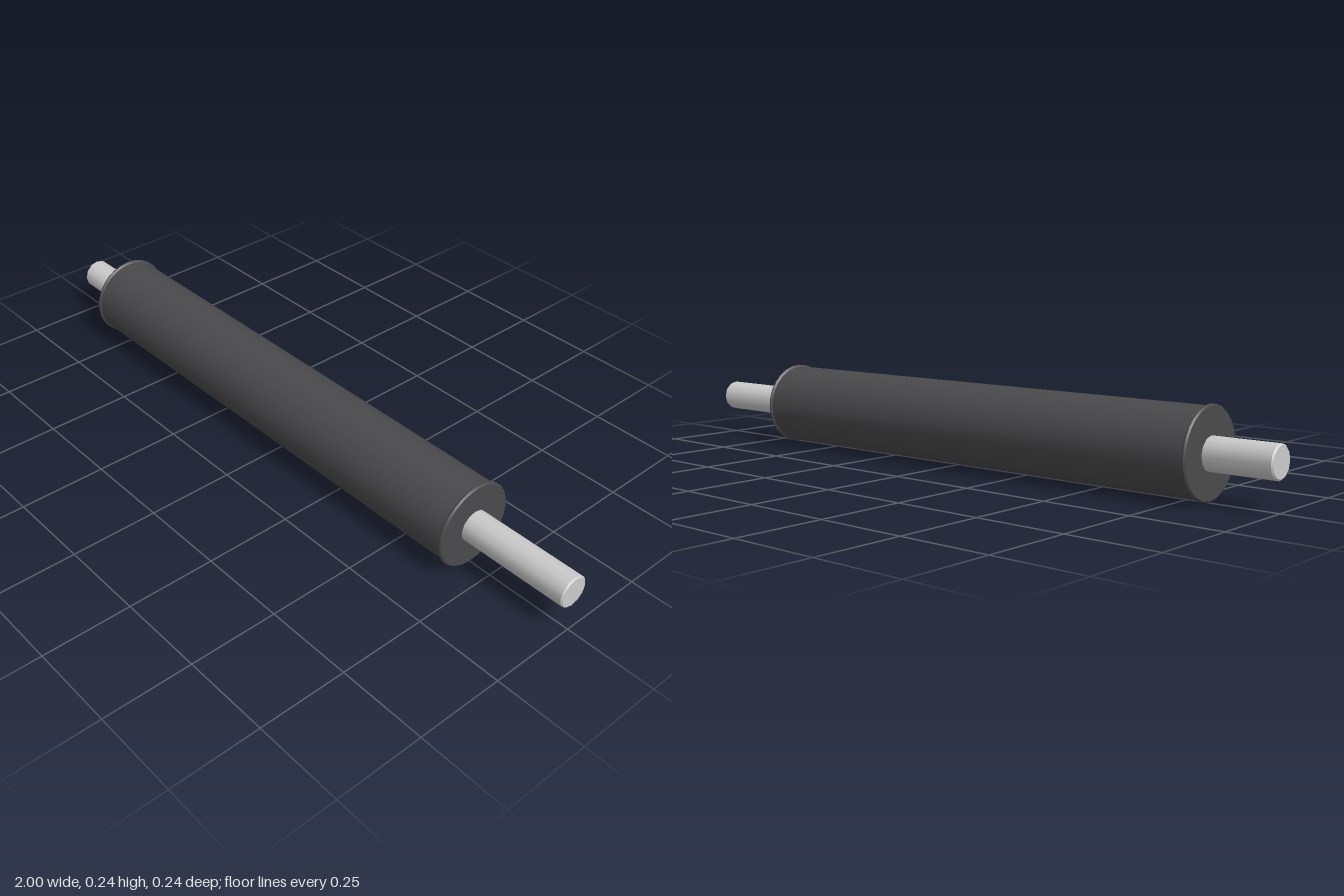
import * as THREE from 'three';
import { toCreasedNormals } from 'three/addons/utils/BufferGeometryUtils.js';

const AXIS_Y = 0.121;

// Solid turned around the x axis from [x, radius] pairs, ordered by rising x
function turned(name, profile, sides, color) {
  const points = profile.map(([x, r]) => new THREE.Vector2(r, x));
  const geometry = toCreasedNormals(new THREE.LatheGeometry(points, sides), 0.65);
  geometry.rotateZ(-Math.PI / 2);
  const mesh = new THREE.Mesh(geometry, new THREE.MeshStandardMaterial({ color }));
  mesh.name = name;
  mesh.position.y = AXIS_Y;
  return mesh;
}

export function createModel() {
  const group = new THREE.Group();
  group.name = 'roller';

  // Steel shaft with small chamfers at both ends, longer on the left
  group.add(turned('shaft', [
    [-1, 0], [-1, 0.041], [-0.996, 0.045],
    [0.996, 0.045], [1, 0.041], [1, 0],
  ], 12, 0xcccccc));

  // Dark sleeve with a slightly raised, chamfered lip at each end
  group.add(turned('sleeve', [
    [-0.814, 0], [-0.814, 0.117], [-0.81, 0.121], [-0.806, 0.121], [-0.802, 0.116],
    [0.672, 0.116], [0.676, 0.121], [0.68, 0.121], [0.684, 0.117], [0.684, 0],
  ], 28, 0x4a4a4c));

  return group;
}
